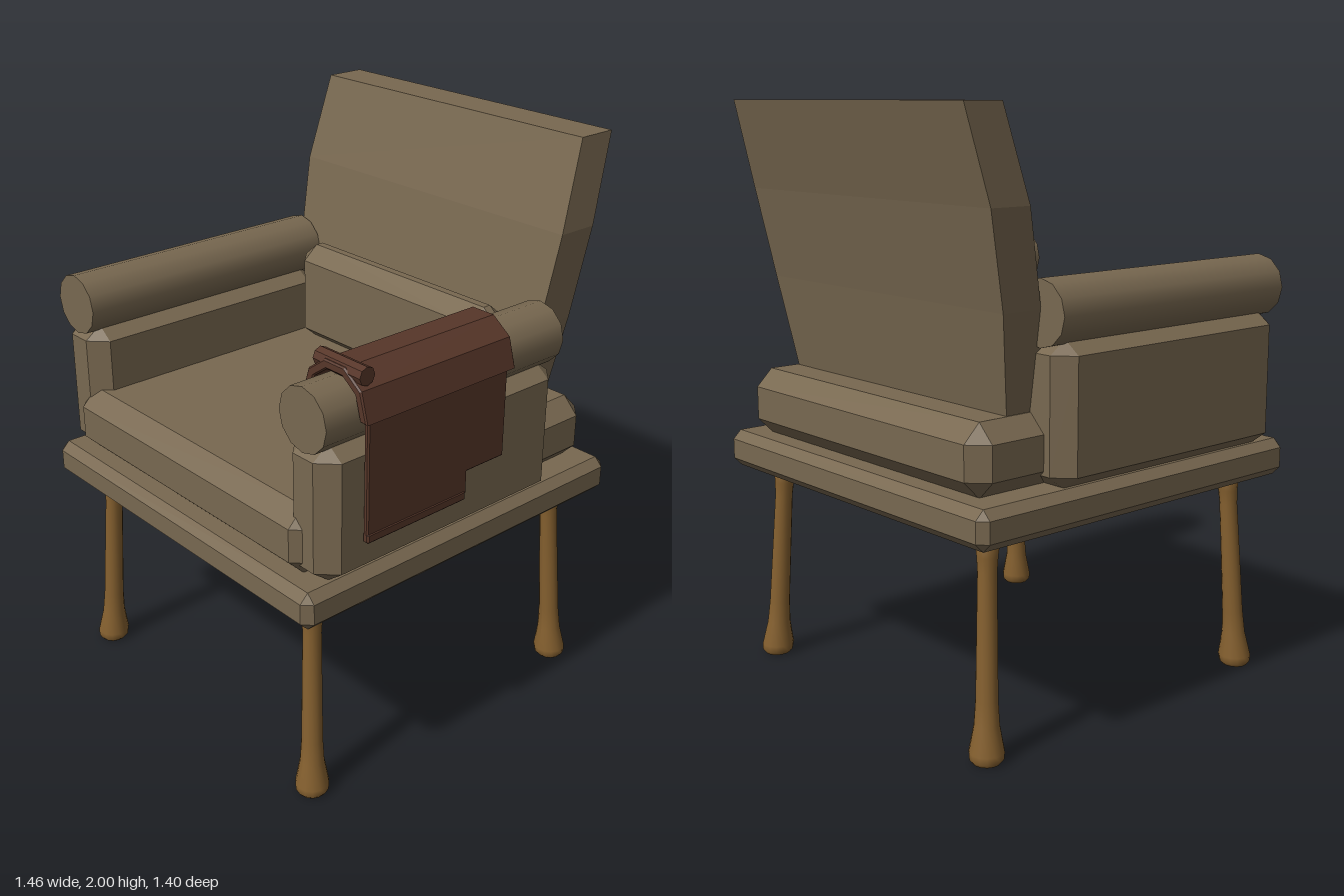
import * as THREE from 'three';
import { ConvexGeometry } from 'three/addons/geometries/ConvexGeometry.js';

const fabric = new THREE.MeshStandardMaterial({ color: 0x786850, flatShading: true });
const fabricSmooth = new THREE.MeshStandardMaterial({ color: 0x786850 });
const wood = new THREE.MeshStandardMaterial({ color: 0x85602f });
const leather = new THREE.MeshStandardMaterial({ color: 0x573629, flatShading: true });
const CX = -0.02; // the chair's own centre line

export function createModel() {
  const chair = new THREE.Group();
  chair.name = 'armchair';

  function add(name, geometry, material, parent = chair) {
    const mesh = new THREE.Mesh(geometry, material);
    mesh.name = name;
    parent.add(mesh);
    return mesh;
  }

  // Box between two corners with chamfered edges (chamfer given per axis)
  function chamferBox(min, max, c) {
    const mid = min.map((v, i) => (v + max[i]) / 2);
    const half = min.map((v, i) => (max[i] - v) / 2);
    const points = [];
    for (const sx of [-1, 1]) for (const sy of [-1, 1]) for (const sz of [-1, 1]) {
      const s = [sx, sy, sz];
      for (let axis = 0; axis < 3; axis++) {
        const p = s.map((v, i) => mid[i] + v * (half[i] - (i === axis ? 0 : c[i])));
        points.push(new THREE.Vector3(...p));
      }
    }
    return new ConvexGeometry(points);
  }

  // Base and cushions
  add('base', chamferBox([-0.72, 0.71, -0.7], [0.68, 0.84, 0.7], [0.03, 0.03, 0.03]), fabric);
  add('seatCushion', chamferBox([-0.645, 0.835, -0.655], [0.61, 1.07, 0.66], [0.06, 0.06, 0.06]), fabric);
  add('lumbarPillow', chamferBox([-0.505, 1.06, -0.4], [0.47, 1.43, -0.25], [0.06, 0.05, 0.06]), fabric);

  // Curved backrest lofted from horizontal sections: [y, half width, front z, back z]
  const sections = [
    [1.06, 0.56, -0.335, -0.483],
    [1.39, 0.607, -0.388, -0.538],
    [1.7, 0.627, -0.45, -0.602],
    [2.0, 0.607, -0.54, -0.685],
  ];
  const pos = [];
  const index = [];
  for (const [y, w, f, b] of sections) pos.push(CX - w, y, f, CX + w, y, f, CX + w, y, b, CX - w, y, b);
  for (let i = 0; i < sections.length - 1; i++) {
    for (let k = 0; k < 4; k++) {
      const a = i * 4 + k, b = i * 4 + (k + 1) % 4;
      index.push(a, b, b + 4, a, b + 4, a + 4);
    }
  }
  const t = (sections.length - 1) * 4;
  index.push(0, 2, 1, 0, 3, 2, t, t + 1, t + 2, t, t + 2, t + 3);
  const back = new THREE.BufferGeometry();
  back.setAttribute('position', new THREE.Float32BufferAttribute(pos, 3));
  back.setIndex(index);
  back.computeVertexNormals();
  add('backrest', back, fabric);

  // Arms with rolled tops
  for (const [side, x] of [['right', -0.625], ['left', 0.585]]) {
    const arm = new THREE.Group();
    arm.name = side + 'Arm';
    chair.add(arm);
    add('armPanel', chamferBox([x - 0.105, 0.835, -0.39], [x + 0.105, 1.3, 0.63], [0.06, 0.045, 0.06]), fabric, arm);
    const roll = new THREE.CylinderGeometry(0.106, 0.106, 1.02, 12).rotateX(Math.PI / 2);
    add('armRoll', roll, fabricSmooth, arm).position.set(x, 1.378, 0.12);
  }

  // Turned legs, splayed outward toward the feet
  const legProfile = [
    [0, 0], [0.045, 0], [0.055, 0.012], [0.057, 0.035], [0.041, 0.12],
    [0.036, 0.2], [0.031, 0.6], [0.034, 0.65], [0.042, 0.72], [0, 0.72],
  ].map(([r, y]) => new THREE.Vector2(r, y));
  for (const [end, sz] of [['front', 1], ['back', -1]]) for (const [side, sx] of [['Right', -1], ['Left', 1]]) {
    const geometry = new THREE.LatheGeometry(legProfile, 14);
    const p = geometry.attributes.position;
    for (let i = 0; i < p.count; i++) {
      const splay = 0.035 * (1 - p.getY(i) / 0.72);
      p.setX(i, p.getX(i) + sx * splay);
      p.setZ(i, p.getZ(i) + sz * splay);
    }
    geometry.computeVertexNormals();
    add(end + side + 'Leg', geometry, wood).position.set(CX + sx * 0.558, 0, sz * 0.558);
  }

  // Leather organiser draped over the left arm
  const caddy = new THREE.Group();
  caddy.name = 'armCaddy';
  chair.add(caddy);
  const angles = [-4, 36, 72, 108, 144, 180, 205].map(THREE.MathUtils.degToRad);
  const ring = (r) => angles.map((a) => new THREE.Vector2(r * Math.cos(a), r * Math.sin(a)));
  const bevel = { bevelSize: 0.005, bevelThickness: 0.005, bevelSegments: 1 };
  const drape = new THREE.ExtrudeGeometry(
    new THREE.Shape([...ring(0.138), ...ring(0.117).reverse()]), { depth: 0.62, ...bevel });
  add('drape', drape, leather, caddy).position.set(0.585, 1.385, -0.115);

  // Hanging side panel with a stepped lower edge, outline in (-z, y)
  const flap = (outline, thickness) => new THREE.ExtrudeGeometry(
    new THREE.Shape(outline.map(([z, y]) => new THREE.Vector2(-z, y))), { depth: thickness, ...bevel }).rotateY(Math.PI / 2);
  add('sidePanel', flap([[0.485, 0.99], [0.07, 0.99], [0.07, 1.07], [-0.095, 1.07], [-0.095, 1.4], [0.485, 1.4]], 0.01), leather, caddy)
    .position.x = 0.7;
  add('pocketHem', chamferBox([0.692, 0.965, 0.07], [0.718, 1.0, 0.49], [0.006, 0.006, 0.006]), leather, caddy);

  // Small bar lying across the top of the drape
  const bar = new THREE.CylinderGeometry(0.03, 0.03, 0.205, 8).rotateZ(Math.PI / 2);
  add('topBar', bar, leather, caddy).position.set(0.592, 1.507, 0.478);

  return chair;
}
